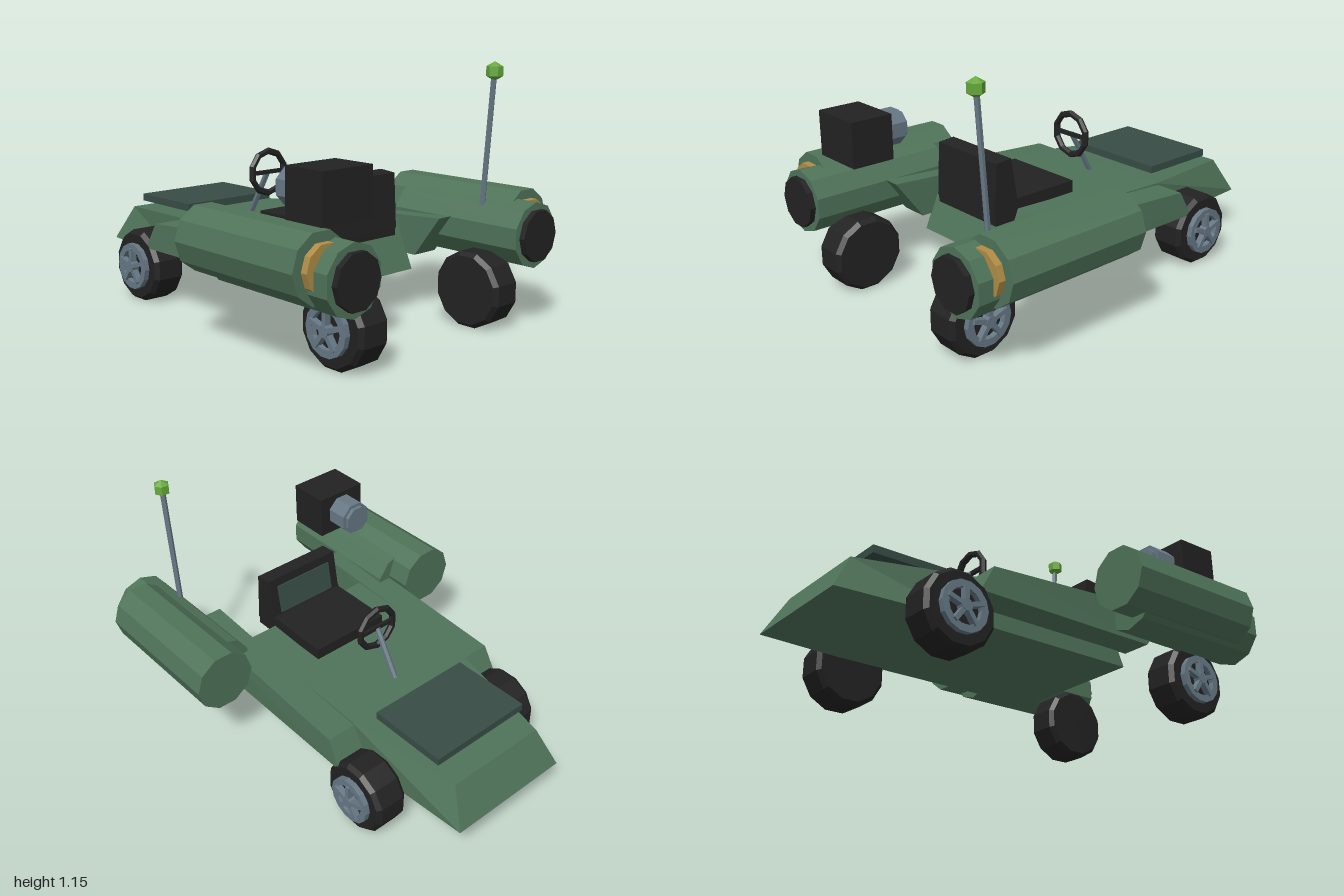
import * as THREE from 'three';

const mat = (name, color) => {
  const m = new THREE.MeshStandardMaterial({ color, flatShading: true });
  m.name = name;
  return m;
};

export function createModel() {
  const green = mat('bodyGreen', 0x4f7359);
  const darkGreen = mat('panelGreen', 0x374d45);
  const black = mat('black', 0x222222);
  const steel = mat('steel', 0x667884);
  const gold = mat('gold', 0xb08d45);
  const lime = mat('lime', 0x66aa3c);

  const model = new THREE.Group();
  model.name = 'buggy';

  const add = (name, geo, material, x = 0, y = 0, z = 0, parent = model) => {
    const mesh = new THREE.Mesh(geo, material);
    mesh.name = name;
    mesh.position.set(x, y, z);
    parent.add(mesh);
    return mesh;
  };
  const box = (w, h, d) => new THREE.BoxGeometry(w, h, d);

  // Cylinder lying along z; turn spins its facets
  const tubeZ = (r, length, sides, turn = 0) =>
    new THREE.CylinderGeometry(r, r, length, sides).rotateY(turn).rotateX(Math.PI / 2);

  // Straight rod between two points
  const rod = (name, a, b, r, material) => {
    const from = new THREE.Vector3(...a), to = new THREE.Vector3(...b);
    const dir = to.clone().sub(from);
    const mesh = add(name, new THREE.CylinderGeometry(r, r, dir.length(), 6), material);
    mesh.position.copy(from).add(to).multiplyScalar(0.5);
    mesh.quaternion.setFromUnitVectors(new THREE.Vector3(0, 1, 0), dir.normalize());
  };

  // Four-cornered cross-section with separate bottom and top widths and depths
  const ring = (cx, halfBottom, halfTop, yb, yt, zb, zt) => [
    [cx - halfBottom, yb, zb], [cx + halfBottom, yb, zb],
    [cx + halfTop, yt, zt], [cx - halfTop, yt, zt],
  ];
  // Capped hull through cross-sections running towards +z
  const loft = (rings) => {
    const idx = [];
    for (let r = 0; r < rings.length - 1; r++) {
      for (let i = 0; i < 4; i++) {
        const a = r * 4 + i, b = r * 4 + (i + 1) % 4;
        idx.push(a, b, b + 4, a, b + 4, a + 4);
      }
    }
    const e = (rings.length - 1) * 4;
    idx.push(0, 3, 2, 0, 2, 1, e, e + 1, e + 2, e, e + 2, e + 3);
    const g = new THREE.BufferGeometry();
    g.setAttribute('position', new THREE.Float32BufferAttribute(rings.flat(2), 3));
    g.setIndex(idx);
    const flat = g.toNonIndexed();
    flat.computeVertexNormals();
    return flat;
  };

  // Wedge-shaped body and raised hood panel
  add('body', loft([
    ring(0, 0.305, 0.25, 0.2, 0.37, -1, -0.905),
    ring(0, 0.345, 0.345, 0.2, 0.405, -0.4, -0.37),
    ring(0, 0.345, 0.345, 0.2, 0.435, 0.46, 0.36),
  ]), green);
  add('hoodPanel', box(0.515, 0.035, 0.38), darkGreen, 0, 0.433, -0.62);

  // Seat: cushion, slanted backrest and its inset panel
  add('seatCushion', box(0.4, 0.055, 0.34), black, 0, 0.455, 0.205);
  add('seatBack', loft([
    ring(0, 0.2, 0.2, 0.43, 0.672, 0.355, 0.395),
    ring(0, 0.2, 0.2, 0.42, 0.665, 0.49, 0.475),
  ]), black);
  add('seatBackBase', box(0.4, 0.06, 0.12), black, 0, 0.415, 0.425);
  const panel = add('seatPanel', box(0.31, 0.14, 0.012), darkGreen, 0, 0.563, 0.375);
  panel.rotation.x = 0.165;

  // Steering
  add('steeringWheel', new THREE.TorusGeometry(0.1, 0.016, 6, 10).rotateZ(Math.PI / 10),
    black, 0, 0.615, -0.143);
  add('steeringCrossbar', box(0.19, 0.018, 0.016), black, 0, 0.615, -0.143);
  rod('steeringColumn', [0, 0.615, -0.148], [0, 0.39, -0.28], 0.014, steel);

  // Wheel built with its outer side towards +x
  const rimShape = new THREE.Shape().absarc(0, 0, 0.11, 0, Math.PI * 2);
  rimShape.holes.push(new THREE.Path().absarc(0, 0, 0.078, 0, Math.PI * 2, true));
  const rimGeo = new THREE.ExtrudeGeometry(rimShape, { depth: 0.03, bevelEnabled: false, curveSegments: 7 })
    .rotateY(Math.PI / 2);
  const tyreProfile = [[0, -0.08], [0.155, -0.08], [0.172, -0.06], [0.172, 0.06], [0.155, 0.08], [0, 0.08]]
    .map(([r, h]) => new THREE.Vector2(r, h));
  const tyreGeo = new THREE.LatheGeometry(tyreProfile, 12).rotateY(Math.PI / 12).rotateZ(-Math.PI / 2);
  const makeWheel = (name, side, z) => {
    const wheel = new THREE.Group();
    wheel.name = name;
    add('tyre', tyreGeo, black, 0, 0, 0, wheel);
    add('rim', rimGeo, steel, 0.075, 0, 0, wheel);
    add('hub', new THREE.CylinderGeometry(0.026, 0.026, 0.045, 10).rotateZ(Math.PI / 2),
      steel, 0.095, 0, 0, wheel);
    for (let i = 0; i < 5; i++) {
      const spoke = add('spoke', box(0.03, 0.085, 0.02).translate(0, 0.045, 0), steel, 0.1, 0, 0, wheel);
      spoke.rotation.x = (i * Math.PI * 2) / 5;
    }
    wheel.position.set(side * 0.41, 0.168, z);
    if (side < 0) wheel.rotation.y = Math.PI;
    model.add(wheel);
  };

  for (const s of [-1, 1]) {
    const label = s > 0 ? 'left' : 'right';
    makeWheel(label + 'NoseWheel', s, -0.54);
    makeWheel(label + 'TailWheel', s, 0.78);

    // Side arm rising towards the engines
    add(label + 'Arm', loft([
      ring(s * 0.415, 0.075, 0.07, 0.27, 0.395, -0.45, -0.38),
      ring(s * 0.41, 0.07, 0.07, 0.27, 0.46, 0.48, 0.62),
    ]), green);

    // Paired engine barrels with nozzle and gold exhaust
    add(label + 'InnerBarrel', tubeZ(0.146, 0.685, 10), green, s * 0.557, 0.412, 0.632);
    add(label + 'OuterBarrel', tubeZ(0.145, 0.705, 10, Math.PI / 2), green, s * 0.627, 0.452, 0.522);
    add(label + 'Nozzle', tubeZ(0.116, 0.05, 10, Math.PI / 2), black, s * 0.557, 0.412, 0.975);
    add(label + 'Exhaust', tubeZ(0.102, 0.05, 10, Math.PI / 2), gold, s * 0.627, 0.452, 0.88);
  }

  // Camera box with stepped lens
  add('cameraBox', box(0.266, 0.21, 0.205), black, -0.458, 0.695, 0.738);
  add('cameraLens', tubeZ(0.086, 0.115, 8, Math.PI / 8), steel, -0.46, 0.695, 0.585);
  add('lensRim', tubeZ(0.07, 0.03, 8, Math.PI / 8), steel, -0.46, 0.695, 0.522);

  // Antenna with bright tip
  rod('antenna', [0.475, 0.5, 0.747], [0.475, 1.1, 0.79], 0.013, steel);
  add('antennaTip', new THREE.SphereGeometry(0.042, 6, 3), lime, 0.475, 1.113, 0.792);

  return model;
}
